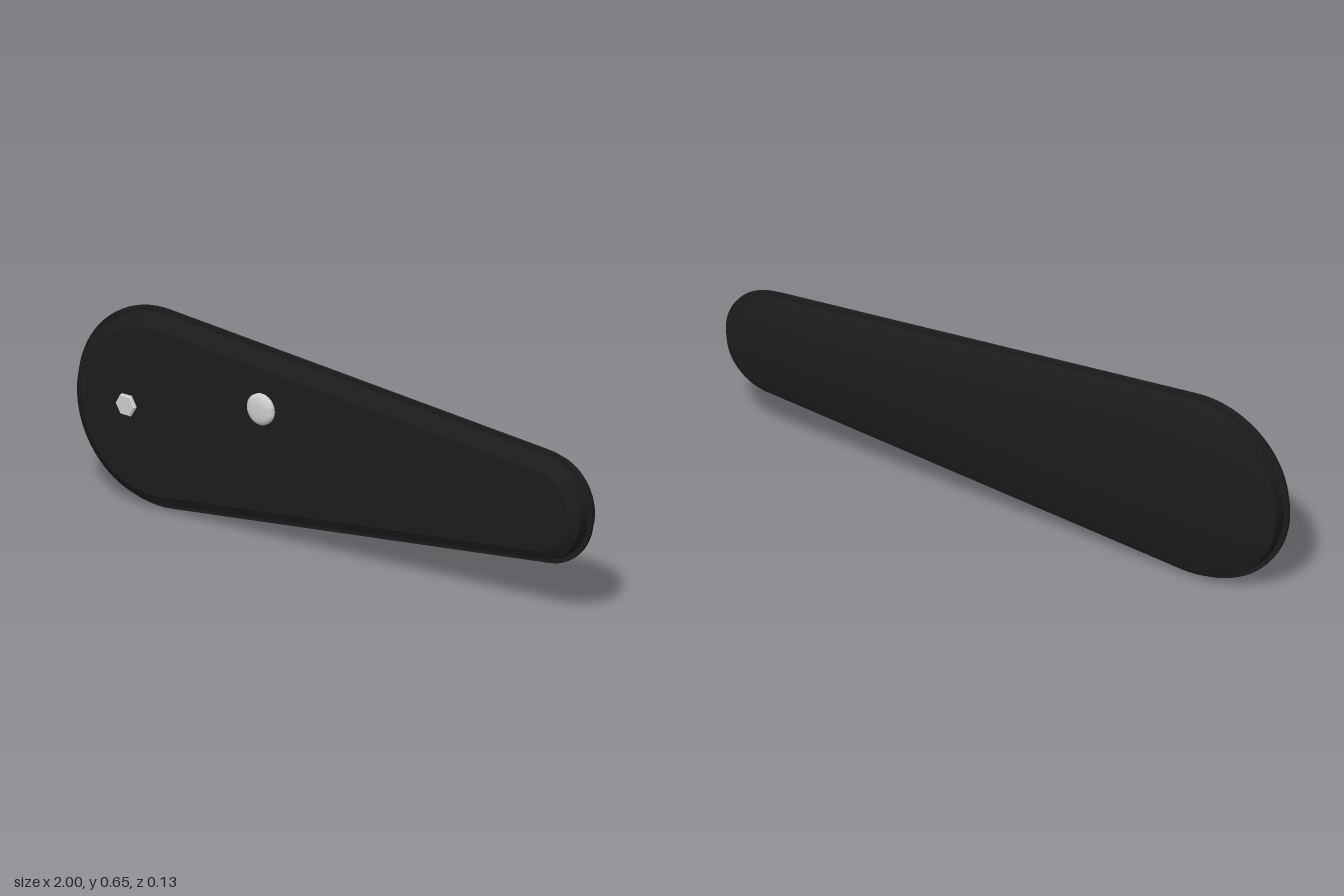
import * as THREE from 'three';
import { toCreasedNormals } from 'three/addons/utils/BufferGeometryUtils.js';

// Two end circles of the teardrop outline
const BIG = { x: -0.673, y: 0.328, r: 0.327 };
const SMALL = { x: 0.815, y: 0.355, r: 0.185 };

// Convex outline: two arcs joined by tangents, shrunk by inset (counter-clockwise)
function outline(inset) {
  const dx = SMALL.x - BIG.x, dy = SMALL.y - BIG.y;
  const base = Math.atan2(dy, dx);
  const tangent = Math.acos((BIG.r - SMALL.r) / Math.hypot(dx, dy));
  const points = [];
  const arc = (c, from, to, steps) => {
    for (let i = 0; i <= steps; i++) {
      const a = from + (to - from) * i / steps;
      points.push([c.x + (c.r - inset) * Math.cos(a), c.y + (c.r - inset) * Math.sin(a)]);
    }
  };
  arc(SMALL, base - tangent, base + tangent, 28);
  arc(BIG, base + tangent, base + 2 * Math.PI - tangent, 40);
  return points;
}

// Closed solid through [inset, z] sections, ordered from back to front
function loft(sections, crease) {
  const rings = sections.map(([inset, z]) => outline(inset).map(([x, y]) => [x, y, z]));
  const n = rings[0].length, last = rings.length - 1, pos = [];
  for (let i = 0; i < n; i++) {
    const j = (i + 1) % n;
    for (let k = 0; k < last; k++) {
      const a = rings[k][i], b = rings[k][j], c = rings[k + 1][j], d = rings[k + 1][i];
      pos.push(...a, ...b, ...c, ...a, ...c, ...d);
    }
    pos.push(0, 0.34, sections[last][1], ...rings[last][i], ...rings[last][j]);
    pos.push(0, 0.34, sections[0][1], ...rings[0][j], ...rings[0][i]);
  }
  const geometry = new THREE.BufferGeometry();
  geometry.setAttribute('position', new THREE.Float32BufferAttribute(pos, 3));
  return toCreasedNormals(geometry, crease);
}

export function createModel() {
  const group = new THREE.Group();
  const black = new THREE.MeshStandardMaterial({ name: 'black casing', color: 0x1c1c1c });
  const metal = new THREE.MeshStandardMaterial({ name: 'light metal', color: 0xcccccc });
  const add = (name, geometry, material) => {
    const mesh = new THREE.Mesh(geometry, material);
    mesh.name = name;
    group.add(mesh);
    return mesh;
  };

  // Bevelled case and the thin flange along its seam
  add('caseShell', loft([
    [0.053, -0.064], [0.023, -0.052], [0.015, -0.012], [0.023, 0.027], [0.053, 0.043],
  ], 0.45), black);
  add('seamFlange', loft([[0, -0.017], [0, -0.007]], 0.45), black);

  // Turned fittings on the front face; profile is [radius, height]
  const fitting = (name, profile, sides, x, y, crease) => {
    const lathe = new THREE.LatheGeometry(profile.map(p => new THREE.Vector2(...p)), sides, Math.PI / 2);
    const mesh = add(name, toCreasedNormals(lathe, crease), metal);
    mesh.rotation.x = Math.PI / 2;
    mesh.position.set(x, y, 0.04);
  };
  fitting('hexBolt', [[0.038, 0], [0.038, 0.011], [0.033, 0.015], [0, 0.015]], 6, -0.77, 0.33, 0.2);
  fitting('domeButton', [[0.05, 0], [0.051, 0.013], [0.046, 0.019], [0.037, 0.024], [0.02, 0.0255], [0, 0.026]],
    32, -0.245, 0.44, 0.9);

  return group;
}
